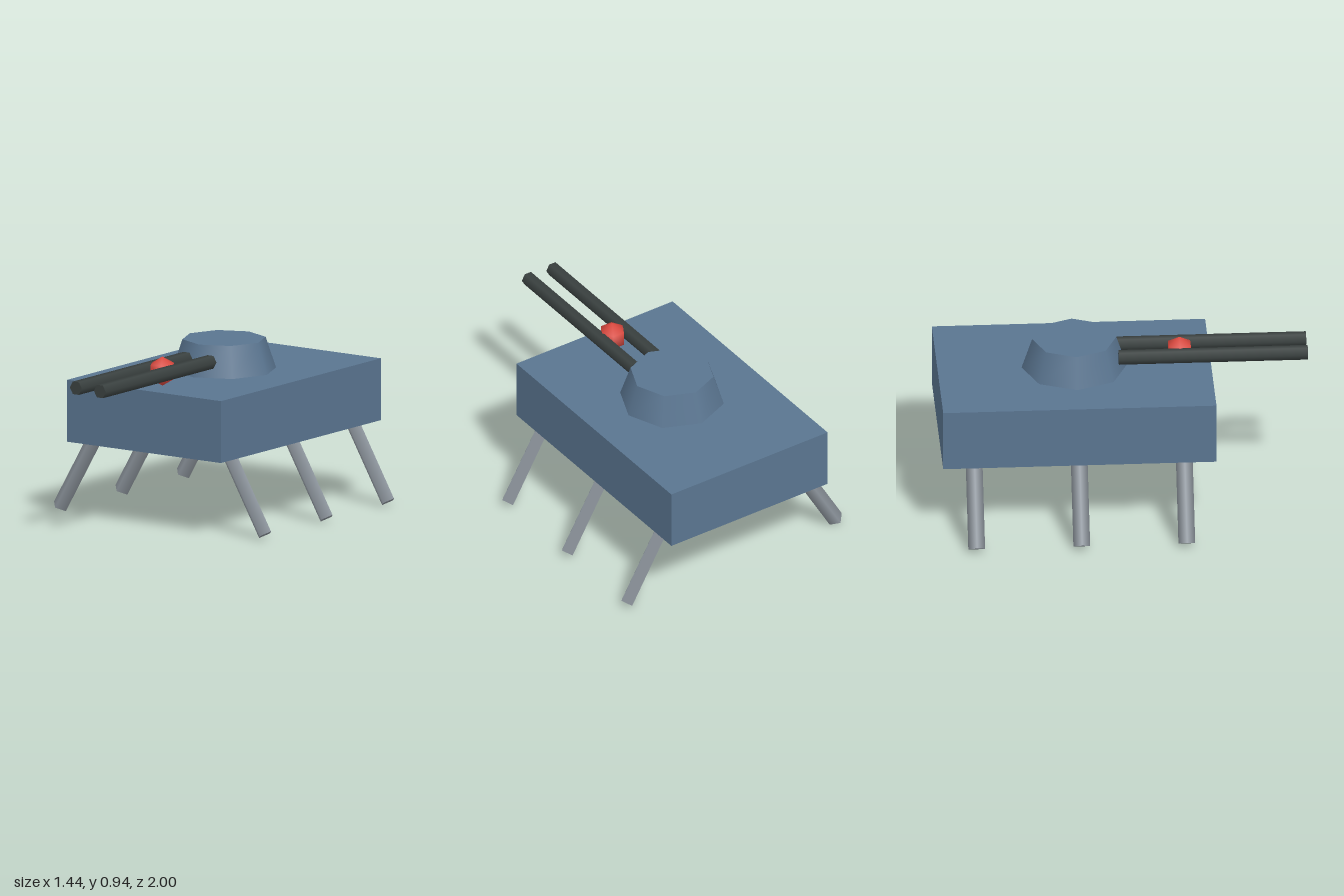
import * as THREE from 'three';

export function createModel() {
  const model = new THREE.Group();
  model.name = 'walkerTank';

  const material = (name, color) => {
    const m = new THREE.MeshStandardMaterial({ color });
    m.name = name;
    return m;
  };
  const hullBlue = material('hullBlue', 0x5a7590);
  const legGrey = material('legGrey', 0x8f979f);
  const barrelDark = material('barrelDark', 0x3a4140);
  const lampRed = material('lampRed', 0xdd4a40);

  const add = (name, geometry, mat, x, y, z) => {
    const mesh = new THREE.Mesh(geometry, mat);
    mesh.name = name;
    mesh.position.set(x, y, z);
    model.add(mesh);
    return mesh;
  };

  const midZ = -0.26;
  const deckY = 0.767;

  // Hull and eight-sided turret
  add('hull', new THREE.BoxGeometry(1.024, 0.341, 1.48), hullBlue, 0, deckY - 0.1705, midZ);
  add('turret', new THREE.CylinderGeometry(0.228, 0.285, 0.171, 8), hullBlue, 0, deckY + 0.0855, midZ);

  // Red lamp between the barrels
  add('lamp', new THREE.SphereGeometry(0.08, 6, 3), lampRed, 0, deckY + 0.08, 0.31);

  // Twin six-sided barrels, points facing sideways
  const barrel = new THREE.CylinderGeometry(0.04, 0.04, 1.024, 6)
    .rotateY(Math.PI / 6)
    .rotateX(Math.PI / 2);

  // Four-sided legs, splayed 30 degrees; origin at the foot
  const leg = new THREE.CylinderGeometry(0.0455, 0.0455, 0.569, 4).translate(0, 0.2845, 0);

  for (const side of [1, -1]) {
    const label = side > 0 ? 'left' : 'right';
    add(`${label}Barrel`, barrel, barrelDark, side * 0.08, deckY + 0.0865, 0.488);
    [['Front', 0.569], ['Middle', 0], ['Rear', -0.569]].forEach(([place, dz]) => {
      const mesh = add(`${label}${place}Leg`, leg, legGrey, side * 0.683, 0.0235, midZ + dz);
      mesh.rotation.z = side * Math.PI / 6;
    });
  }

  return model;
}
